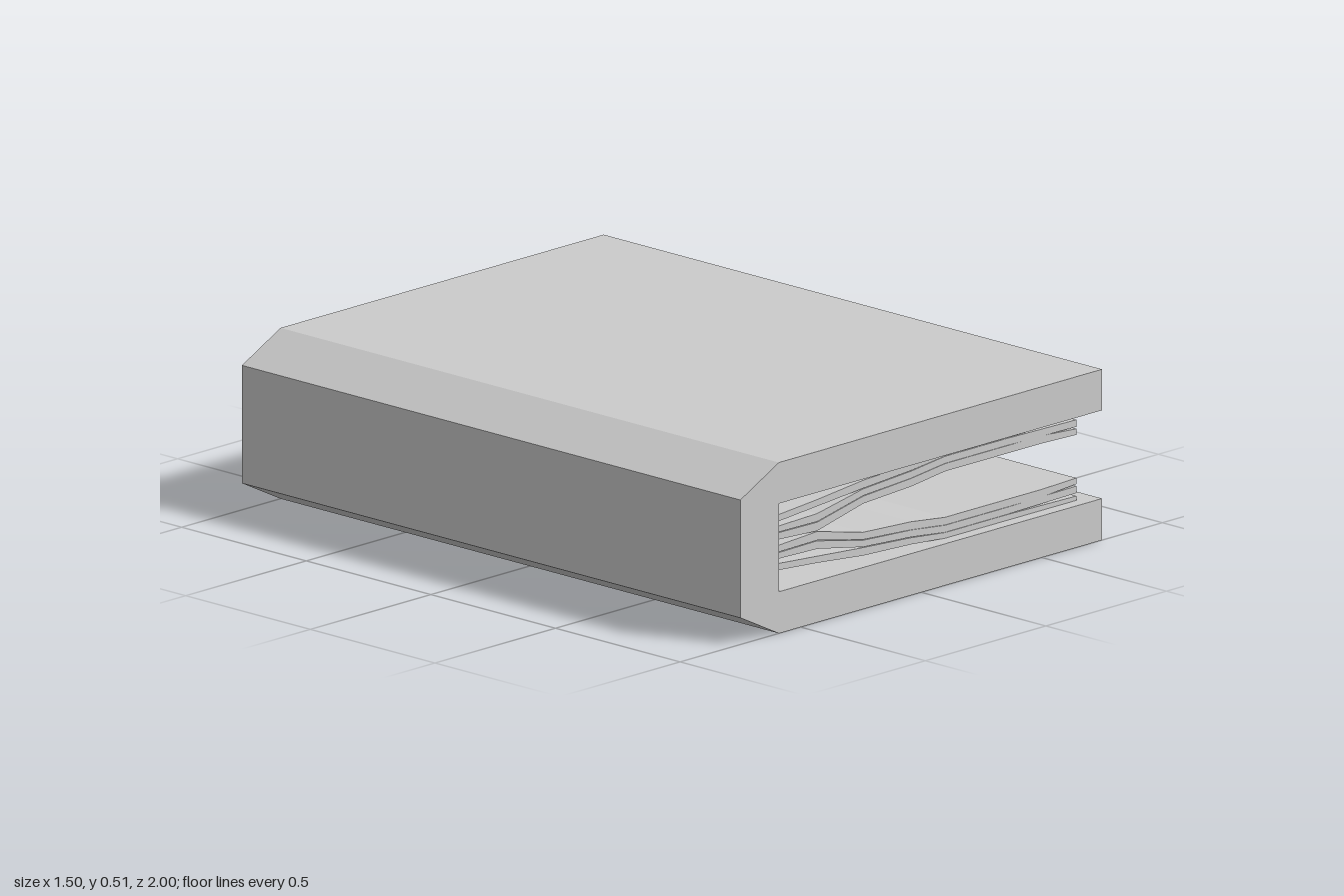
import * as THREE from 'three';

const MID_Y = 0.257; // height about which the two halves of pages mirror

// Extrudes an x-y outline symmetrically along z
function extrudeProfile(name, points, length, material) {
  const shape = new THREE.Shape(points.map(([x, y]) => new THREE.Vector2(x, y)));
  const geometry = new THREE.ExtrudeGeometry(shape, { depth: length, bevelEnabled: false });
  geometry.translate(0, 0, -length / 2);
  const mesh = new THREE.Mesh(geometry, material);
  mesh.name = name;
  return mesh;
}

// Page bundles of the upper half, as [x, top, bottom] from spine to fore-edge
const bundles = {
  outerPages: [
    [-0.59, 0.355, 0.337], [-0.555, 0.34, 0.32], [-0.39, 0.352, 0.332], [-0.2, 0.37, 0.346],
    [0, 0.378, 0.358], [0.14, 0.389, 0.372], [0.4, 0.389, 0.372], [0.685, 0.389, 0.376],
  ],
  middlePages: [
    [-0.59, 0.322, 0.305], [-0.555, 0.306, 0.288], [-0.39, 0.31, 0.286], [-0.2, 0.344, 0.324],
    [0, 0.356, 0.335], [0.14, 0.371, 0.35], [0.4, 0.371, 0.35], [0.685, 0.367, 0.346],
  ],
  innerPages: [
    [-0.59, 0.283, 0.268], [-0.555, 0.286, 0.266], [-0.39, 0.284, 0.258], [-0.2, 0.322, 0.3],
    [0, 0.334, 0.31], [0.14, 0.349, 0.326], [0.54, 0.349, 0.326], [0.685, 0.34, 0.322],
  ],
};

export function createModel() {
  const book = new THREE.Group();
  book.name = 'book';
  const material = new THREE.MeshStandardMaterial({ color: 0xcccccc, flatShading: true });

  // Thick cover with a chamfered spine
  book.add(extrudeProfile('cover', [
    [-0.75, 0.08], [-0.59, 0], [0.75, 0], [0.75, 0.125], [-0.59, 0.125],
    [-0.59, 0.39], [0.75, 0.39], [0.75, 0.513], [-0.59, 0.513], [-0.75, 0.434],
  ], 2, material));

  // Bent page bundles, mirrored between the upper and lower halves
  for (const [half, side] of [['upper', 1], ['lower', -1]]) {
    const pages = new THREE.Group();
    pages.name = half + 'Pages';
    for (const [name, stations] of Object.entries(bundles)) {
      const flip = (y) => MID_Y + side * (y - MID_Y);
      const outline = [
        ...stations.map(([x, top]) => [x, flip(top)]),
        ...[...stations].reverse().map(([x, , bottom]) => [x, flip(bottom)]),
      ];
      pages.add(extrudeProfile(name, outline, 1.92, material));
    }
    book.add(pages);
  }
  return book;
}
